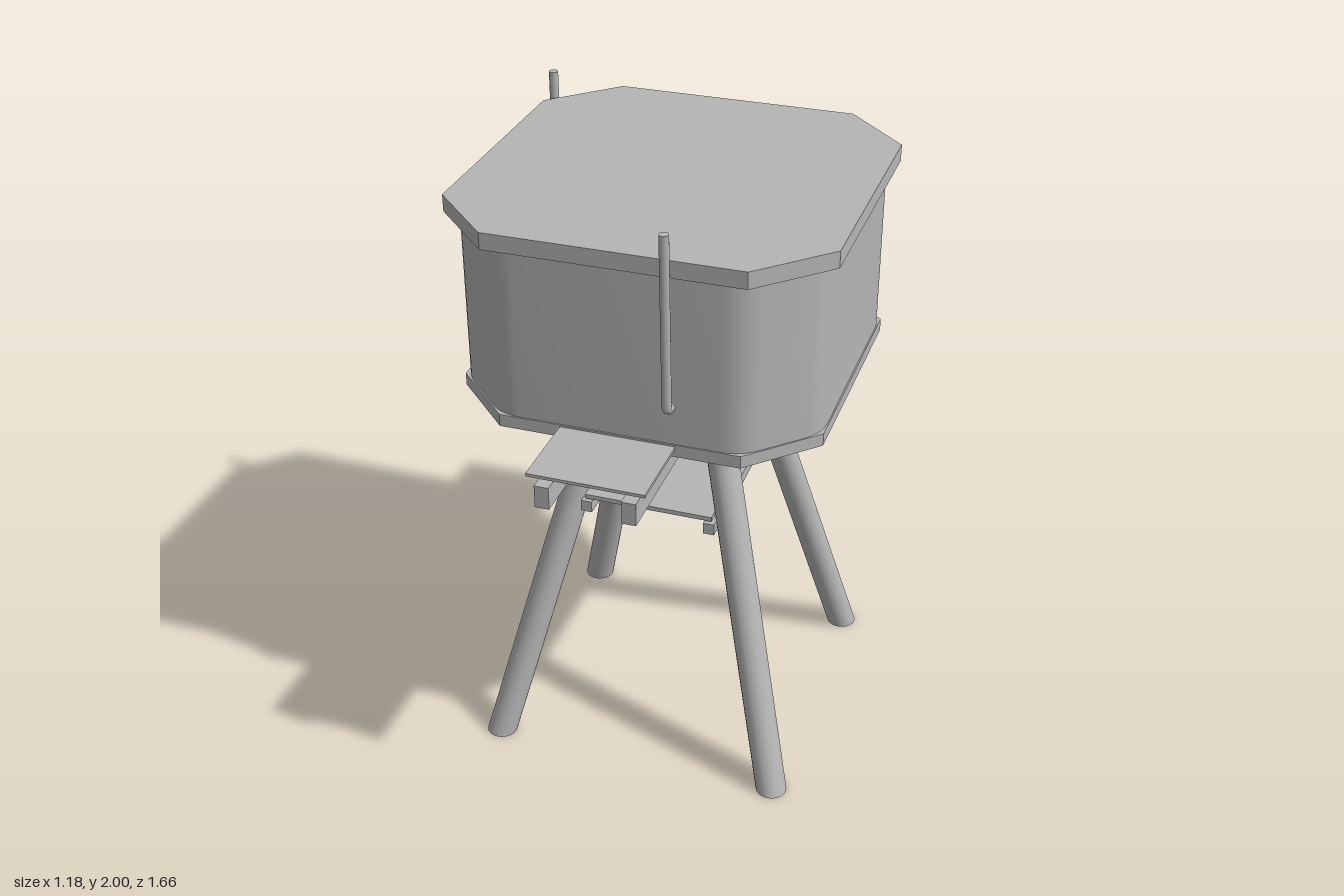
import * as THREE from 'three';
import { toCreasedNormals } from 'three/addons/utils/BufferGeometryUtils.js';

// Square outline with cut corners; fillet softens the eight corners
function cutSquare(half, corner, fillet) {
  const pts = [];
  const loop = [[corner, half], [half, corner], [half, -corner], [corner, -half],
    [-corner, -half], [-half, -corner], [-half, corner], [-corner, half]]
    .reverse().map(([x, y]) => new THREE.Vector2(x, y));
  loop.forEach((p, i) => {
    if (!fillet) { pts.push(p); return; }
    const toward = (q) => p.clone().add(q.clone().sub(p).setLength(fillet));
    const a = toward(loop[(i + 7) % 8]), b = toward(loop[(i + 1) % 8]);
    pts.push(...new THREE.QuadraticBezierCurve(a, p, b).getPoints(5));
  });
  return new THREE.Shape(pts);
}

export function createModel() {
  const model = new THREE.Group();
  const grey = new THREE.MeshStandardMaterial({ color: 0xb5b5b5 });
  grey.name = 'grey';

  function add(name, geometry) {
    const mesh = new THREE.Mesh(geometry, grey);
    mesh.name = name;
    model.add(mesh);
    return mesh;
  }
  // Box given by its lower and upper limits on each axis
  function box(name, x0, x1, y0, y1, z0, z1) {
    add(name, new THREE.BoxGeometry(x1 - x0, y1 - y0, z1 - z0))
      .position.set((x0 + x1) / 2, (y0 + y1) / 2, (z0 + z1) / 2);
  }
  function slab(name, shape, y0, y1, crease) {
    const g = new THREE.ExtrudeGeometry(shape, { depth: y1 - y0, bevelEnabled: false });
    g.rotateX(-Math.PI / 2).translate(0, y0, 0);
    add(name, toCreasedNormals(g, crease));
  }

  // Tank, base rim and lid
  slab('tankBody', cutSquare(0.562, 0.37, 0.06), 1.28, 1.88, 0.6);
  slab('baseRim', cutSquare(0.566, 0.372, 0), 1.275, 1.315, 0.3);
  slab('lid', cutSquare(0.592, 0.39, 0), 1.862, 1.915, 0.3);

  // Support block, beams and end planks
  box('supportBlock', -0.28, 0.275, 1.163, 1.266, -0.272, 0.272);
  for (const x of [-0.134, 0.127]) box('beam', x - 0.022, x + 0.022, 1.2, 1.272, -0.83, 0.83);
  box('frontPlank', -0.18, 0.176, 1.299, 1.309, 0.54, 0.83);
  box('backPlank', -0.18, 0.176, 1.299, 1.309, -0.83, -0.54);

  // Lower shelf on two rails
  box('lowerShelf', -0.21, 0.21, 0.89, 0.905, -0.32, 0.313);
  for (const x of [-0.205, 0.202]) box('shelfRail', x - 0.018, x + 0.018, 0.842, 0.88, -0.333, 0.315);

  // Splayed legs: open tubes sheared so their ends stay level
  const legHeight = 1.18;
  for (const sx of [-1, 1]) for (const sz of [-1, 1]) {
    const g = new THREE.CylinderGeometry(0.05, 0.05, legHeight, 20, 1, true);
    g.translate(0, legHeight / 2, 0);
    const p = g.attributes.position;
    for (let i = 0; i < p.count; i++) {
      const offset = 0.473 - 0.241 * p.getY(i);
      p.setX(i, p.getX(i) + sx * offset);
      p.setZ(i, p.getZ(i) + sz * offset);
    }
    // Smooth normals, joined at the seam
    add('leg', toCreasedNormals(g, 0.8));
  }

  // Upright pipes with an elbow into the tank wall
  function pipe(name, top, bottom, inner) {
    const t = new THREE.Vector3(...top), b = new THREE.Vector3(...bottom), n = new THREE.Vector3(...inner);
    const path = new THREE.CurvePath();
    const a = b.clone().lerp(t, 0.03), c = b.clone().lerp(n, 0.4);
    path.add(new THREE.LineCurve3(t, a));
    path.add(new THREE.QuadraticBezierCurve3(a, b, c));
    path.add(new THREE.LineCurve3(c, n));
    add(name, new THREE.TubeGeometry(path, 60, 0.015, 10, false));
    const end = add(name + 'Cap', new THREE.CircleGeometry(0.015, 10).rotateX(-Math.PI / 2));
    end.position.copy(t);
  }
  pipe('frontPipe', [0.16, 2, 0.611], [0.16, 1.44, 0.592], [0.16, 1.435, 0.54]);
  pipe('sidePipe', [-0.572, 2, -0.437], [-0.567, 1.44, -0.432], [-0.5, 1.435, -0.38]);

  return model;
}
